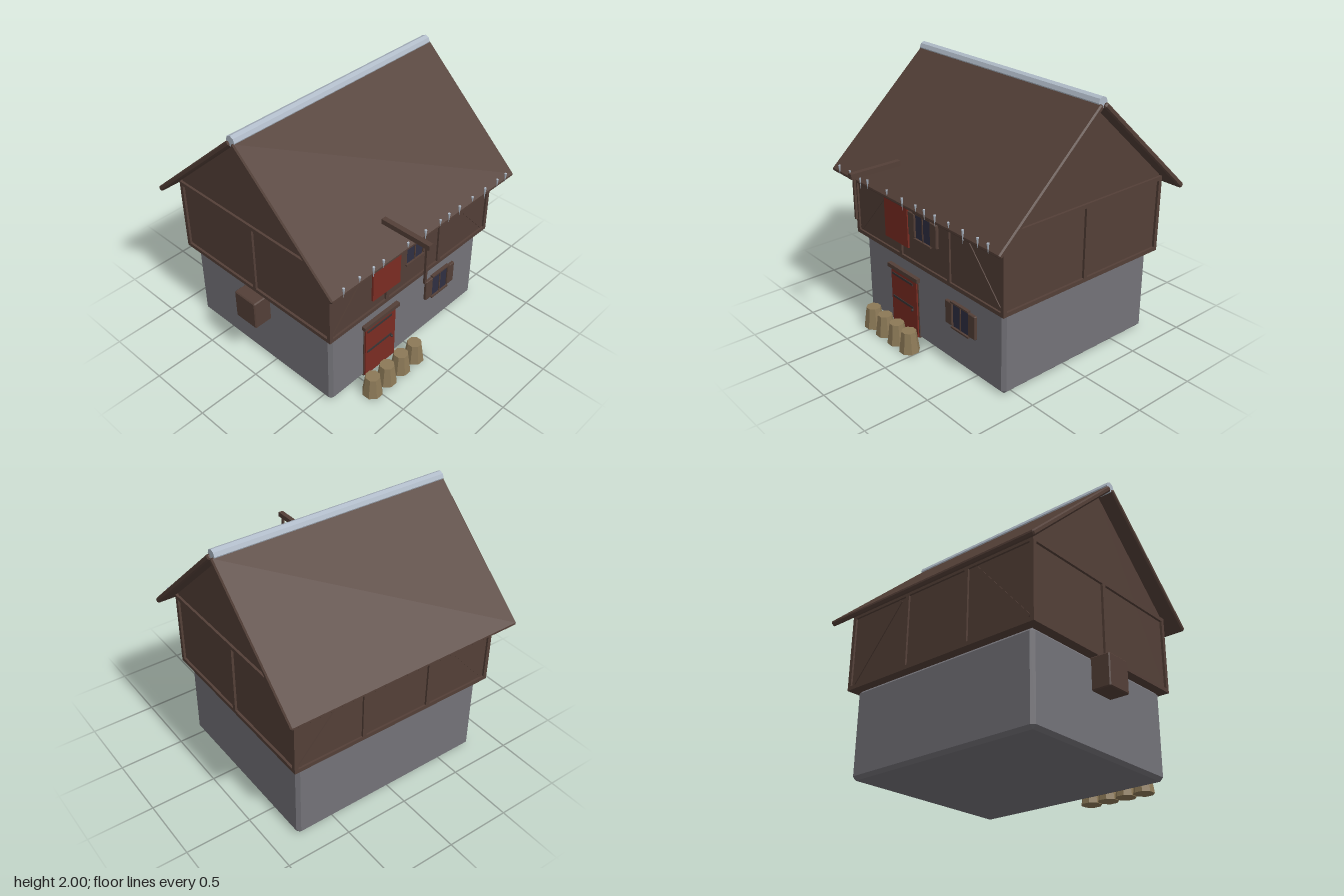
import * as THREE from 'three';
import { ConvexGeometry } from 'three/addons/geometries/ConvexGeometry.js';

const mat = (name, color) => {
  const m = new THREE.MeshStandardMaterial({ color });
  m.name = name;
  return m;
};

export function createModel() {
  const house = new THREE.Group();
  house.name = 'house';

  const wood = mat('darkWood', 0x533f37);
  const stone = mat('greyStone', 0x737278);
  const red = mat('redPaint', 0x7a2b22);
  const glass = mat('darkGlass', 0x2f2f42);
  const log = mat('logWood', 0x8c7957);
  const ice = mat('paleGrey', 0xb0bbc8);
  const iron = mat('iron', 0x3a3434);

  const add = (name, geometry, material, x = 0, y = 0, z = 0, parent = house) => {
    const m = new THREE.Mesh(geometry, material);
    m.name = name;
    m.position.set(x, y, z);
    parent.add(m);
    return m;
  };

  // Box given by its limits on each axis
  const box = (name, material, x0, x1, y0, y1, z0, z1, parent) =>
    add(name, new THREE.BoxGeometry(x1 - x0, y1 - y0, z1 - z0), material,
      (x0 + x1) / 2, (y0 + y1) / 2, (z0 + z1) / 2, parent);

  // Box with a flat chamfer c on all edges
  const chamferBox = (w, h, d, c) => {
    const pts = [], a = w / 2, b = h / 2, e = d / 2;
    for (const i of [-1, 1]) for (const j of [-1, 1]) for (const k of [-1, 1]) {
      pts.push(new THREE.Vector3(i * a, j * (b - c), k * (e - c)));
      pts.push(new THREE.Vector3(i * (a - c), j * b, k * (e - c)));
      pts.push(new THREE.Vector3(i * (a - c), j * (b - c), k * e));
    }
    return new ConvexGeometry(pts);
  };

  // Stone ground floor
  const midZ = -0.118;
  add('stoneBase', chamferBox(1.6, 0.65, 1.4, 0.025), stone, 0, 0.325, midZ);

  // Upper storey and gable as one extruded pentagon
  const gable = new THREE.Shape([
    [-0.735, 0.65], [0.735, 0.65], [0.735, 1.255], [0, 1.93], [-0.735, 1.255],
  ].map(([x, y]) => new THREE.Vector2(x, y)));
  const core = new THREE.ExtrudeGeometry(gable, { depth: 1.664, bevelEnabled: false });
  core.translate(0, 0, -0.832).rotateY(Math.PI / 2);
  add('upperWalls', core, wood, 0, 0, midZ);

  // Timber frame
  const frame = new THREE.Group();
  frame.name = 'timberFrame';
  frame.position.z = midZ;
  house.add(frame);
  for (const s of [-1, 1]) {
    const z = s * 0.735;
    for (const y of [0.665, 1.225]) {
      box('longBeam', wood, -0.85, 0.85, y - 0.015, y + 0.015, z - 0.015, z + 0.015, frame);
      box('gableBeam', wood, s * 0.835 - 0.015, s * 0.835 + 0.015, y - 0.015, y + 0.015, -0.75, 0.75, frame);
    }
    for (const x of [-0.835, -0.28, 0.28, 0.835])
      box('post', wood, x - 0.015, x + 0.015, 0.65, 1.24, z - 0.015, z + 0.015, frame);
    box('gablePost', wood, s * 0.835 - 0.015, s * 0.835 + 0.015, 0.65, 1.24, -0.015, 0.015, frame);
    // Diagonal braces in the outer bays
    for (const t of [-1, 1]) {
      const brace = add('brace', new THREE.BoxGeometry(0.68, 0.03, 0.024), wood, t * 0.58, 0.945, s * 0.73, frame);
      brace.rotation.z = -t * Math.atan2(0.53, 0.47);
    }
  }

  // Roof slabs
  const run = 0.853, rise = 0.785, slope = Math.atan2(rise, run), len = Math.hypot(run, rise);
  for (const s of [-1, 1]) {
    const slab = add('roofSlab', chamferBox(1.9, 0.04, len, 0.01), wood, 0,
      1.145 + rise / 2 + 0.02 * Math.cos(slope),
      midZ + s * (run / 2 + 0.02 * Math.sin(slope)));
    slab.rotation.x = s * slope;
  }

  // Ridge cap
  const ridgeGeo = new THREE.CylinderGeometry(0.04, 0.04, 1.87, 8).toNonIndexed();
  ridgeGeo.rotateZ(Math.PI / 2).computeVertexNormals();
  add('ridgeCap', ridgeGeo, ice, -0.005, 1.96, midZ);

  // Icicles on the front eave: x, lowest y
  [[-0.845, 1.15], [-0.7, 1.18], [-0.57, 1.13], [-0.475, 1.15], [-0.235, 1.18], [-0.055, 1.13], [0.1, 1.17],
    [0.195, 1.15], [0.31, 1.14], [0.455, 1.18], [0.6, 1.12], [0.745, 1.15], [0.845, 1.15]].forEach(([x, y]) => {
    const h = 1.23 - y;
    const icicle = new THREE.ConeGeometry(0.01, h, 5);
    icicle.rotateX(Math.PI);
    add('icicle', icicle, ice, x, y + h / 2, 0.755);
  });

  // Shuttered windows
  const addWindow = (x, y, z) => {
    const w = new THREE.Group();
    w.name = 'window';
    w.position.set(x, y, z);
    house.add(w);
    box('windowFrame', wood, -0.09, 0.09, -0.1, 0.1, -0.01, 0.006, w);
    box('lintel', wood, -0.095, 0.095, 0.095, 0.108, -0.01, 0.026, w);
    box('sill', wood, -0.095, 0.095, -0.108, -0.095, -0.01, 0.026, w);
    box('mullion', wood, -0.005, 0.005, -0.095, 0.095, 0, 0.018, w);
    for (const s of [-1, 1]) {
      box('pane', glass, s * 0.044 - 0.038, s * 0.044 + 0.038, -0.093, 0.093, 0.006, 0.013, w);
      add('shutter', chamferBox(0.075, 0.185, 0.03, 0.005), wood, s * 0.126, 0, 0.007, w);
    }
  };
  addWindow(0.36, 0.405, 0.582);
  addWindow(-0.002, 0.97, 0.617);

  // Door
  const door = new THREE.Group();
  door.name = 'door';
  house.add(door);
  box('doorFrame', wood, -0.47, -0.14, 0.01, 0.495, 0.57, 0.588, door);
  box('doorLeaf', red, -0.462, -0.148, 0.015, 0.485, 0.57, 0.6, door);
  box('doorLintel', wood, -0.487, -0.12, 0.488, 0.52, 0.57, 0.615, door);
  for (const y of [0.25, 0.445])
    box('doorBand', iron, -0.445, -0.19, y - 0.009, y + 0.009, 0.598, 0.605, door);
  add('doorKnob', new THREE.SphereGeometry(0.011, 8, 6), iron, -0.193, 0.235, 0.61, door);

  // Sign arm, hanger and board
  box('signArm', wood, -0.324, -0.286, 1.352, 1.39, 0.595, 0.998);
  box('signHanger', wood, -0.314, -0.297, 1.05, 1.355, 0.958, 0.975);
  box('signBoard', red, -0.445, -0.165, 0.77, 1.087, 0.63, 0.645);

  // Closet on the right wall
  add('wallCloset', chamferBox(0.16, 0.235, 0.21, 0.008), wood, -0.863, 0.527, -0.125);

  // Log stools
  const stool = new THREE.CylinderGeometry(0.055, 0.078, 0.165, 8).rotateY(Math.PI / 8).toNonIndexed();
  stool.computeVertexNormals();
  for (const x of [-0.53, -0.377, -0.225, -0.074]) add('logStool', stool, log, x, 0.0825, 0.732);

  return house;
}
